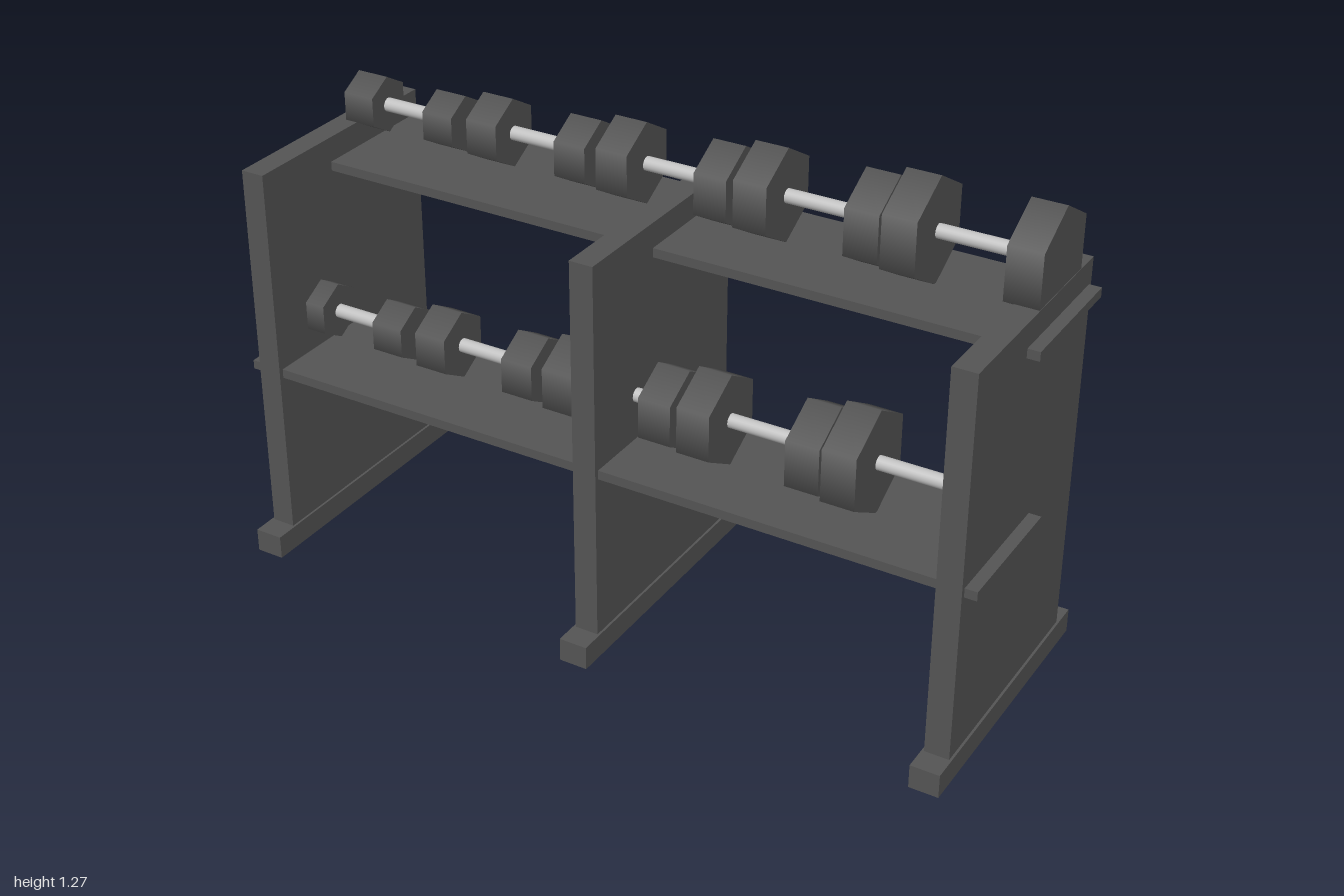
import * as THREE from 'three';

export function createModel() {
  const rack = new THREE.Group();
  rack.name = 'dumbbellRack';
  const iron = new THREE.MeshStandardMaterial({ name: 'dark iron', color: 0x555555 });
  const steel = new THREE.MeshStandardMaterial({ name: 'bright steel', color: 0xc0c0c0 });

  const add = (parent, name, geometry, material, x, y, z) => {
    const mesh = new THREE.Mesh(geometry, material);
    mesh.name = name;
    mesh.position.set(x, y, z);
    parent.add(mesh);
  };

  // Upright panels, each standing on a wider foot
  for (const x of [-0.9375, 0, 0.9375]) {
    add(rack, 'uprightPanel', new THREE.BoxGeometry(0.0625, 1.0025, 0.625), iron, x, 0.56375, 0);
    add(rack, 'foot', new THREE.BoxGeometry(0.075, 0.0625, 0.75), iron, x, 0.03125, 0);
  }

  // Dumbbell sizes: centre x, distance from centre to each head, head radius, height above shelf
  const sizes = [
    [-0.775, 0.12, 0.0745, 0.103],
    [-0.387, 0.127, 0.09, 0.111],
    [0, 0.1335, 0.106, 0.119],
    [0.386, 0.1415, 0.12, 0.126],
    [0.775, 0.149, 0.1355, 0.1325],
  ];

  // A handle lying along x with a six-sided head at each end, corner upward
  function dumbbell(reach, radius) {
    const group = new THREE.Group();
    group.name = 'dumbbell';
    const handle = new THREE.CylinderGeometry(0.018, 0.018, reach * 2, 24);
    handle.rotateZ(Math.PI / 2);
    add(group, 'handle', handle, steel, 0, 0, 0);
    const head = new THREE.CylinderGeometry(radius, radius, 0.0865, 6, 1, false, Math.PI / 2);
    head.rotateZ(Math.PI / 2);
    for (const side of [-1, 1]) add(group, 'head', head, iron, side * reach, 0, 0);
    return group;
  }

  // Two shelves, the upper set back and the lower set forward, each with a full row
  for (const [top, z] of [[1, -0.125], [0.525, 0.125]]) {
    add(rack, 'shelf', new THREE.BoxGeometry(2, 0.024, 0.35), iron, 0, top - 0.012, z);
    for (const [x, reach, radius, lift] of sizes) {
      const weight = dumbbell(reach, radius);
      weight.position.set(x, top + lift, z);
      rack.add(weight);
    }
  }
  return rack;
}
